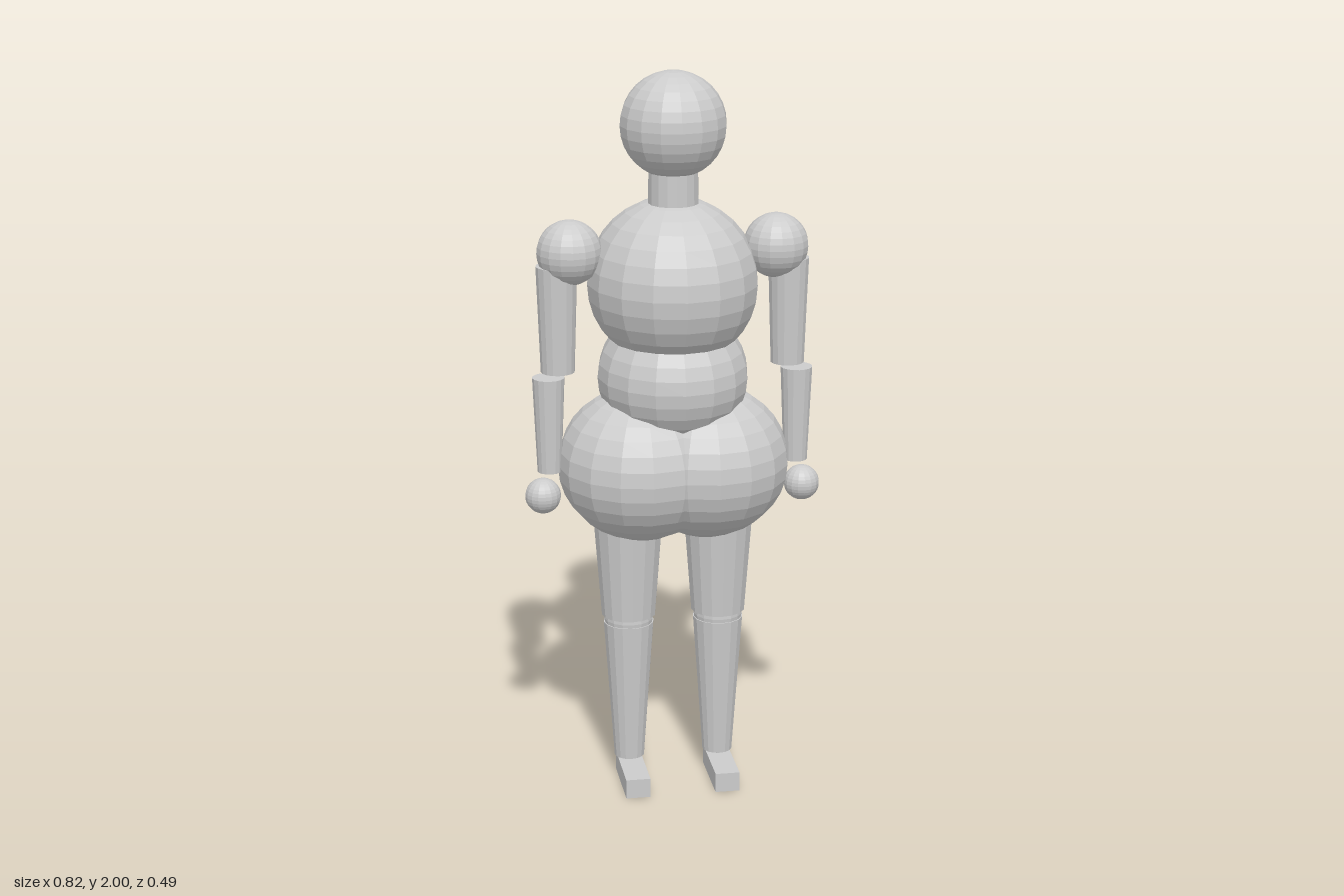
import * as THREE from 'three';

const material = new THREE.MeshStandardMaterial({ color: 0xcccccc, flatShading: true });
const Z = 0.01; // shared depth of head, limbs and hips

export function createModel() {
  const model = new THREE.Group();
  model.name = 'mannequin';

  const add = (name, geometry, x, y, z, parent = model) => {
    const mesh = new THREE.Mesh(geometry, material);
    mesh.name = name;
    mesh.position.set(x, y, z);
    parent.add(mesh);
    return mesh;
  };
  // Ellipsoid with radii rx, ry, rz
  const ball = (name, x, y, z, rx, ry = rx, rz = rx, parent = model) =>
    add(name, new THREE.SphereGeometry(1, 16, 16).scale(rx, ry, rz), x, y, z, parent);
  // Upright tapered limb from yTop to yBottom
  const limb = (name, x, yTop, yBottom, rTop, rBottom, parent = model) =>
    add(name, new THREE.CylinderGeometry(rTop, rBottom, yTop - yBottom, 16), x, (yTop + yBottom) / 2, Z, parent);

  // Head and trunk
  ball('head', 0, 1.857, Z, 0.143);
  limb('neck', 0, 1.78, 1.6, 0.066, 0.069);
  ball('chest', 0, 1.43, 0, 0.232, 0.23, 0.244);
  ball('belly', 0, 1.17, 0, 0.206, 0.188, 0.217);

  for (const [side, s] of [['left', 1], ['right', -1]]) {
    ball(side + 'Hip', s * 0.09, 0.926, 0.011, 0.228, 0.212, 0.232);

    // Arm
    const arm = new THREE.Group();
    arm.name = side + 'Arm';
    model.add(arm);
    ball('shoulder', s * 0.28, 1.522, Z, 0.088, 0.088, 0.088, arm);
    limb('upperArm', s * 0.315, 1.487, 1.195, 0.056, 0.046, arm);
    limb('forearm', s * 0.341, 1.18, 0.915, 0.044, 0.033, arm);
    ball('hand', s * 0.36, 0.845, Z, 0.049, 0.049, 0.049, arm);

    // Leg
    const leg = new THREE.Group();
    leg.name = side + 'Leg';
    model.add(leg);
    limb('thigh', s * 0.126, 0.85, 0.487, 0.102, 0.075, leg);
    ball('knee', s * 0.126, 0.475, Z, 0.068, 0.068, 0.068, leg);
    limb('shin', s * 0.126, 0.465, 0.06, 0.07, 0.042, leg);
    ball('ankle', s * 0.126, 0.08, Z, 0.04, 0.04, 0.04, leg);
    add('foot', new THREE.BoxGeometry(0.068, 0.055, 0.202), s * 0.126, 0.0275, 0.077, leg);
  }
  return model;
}
